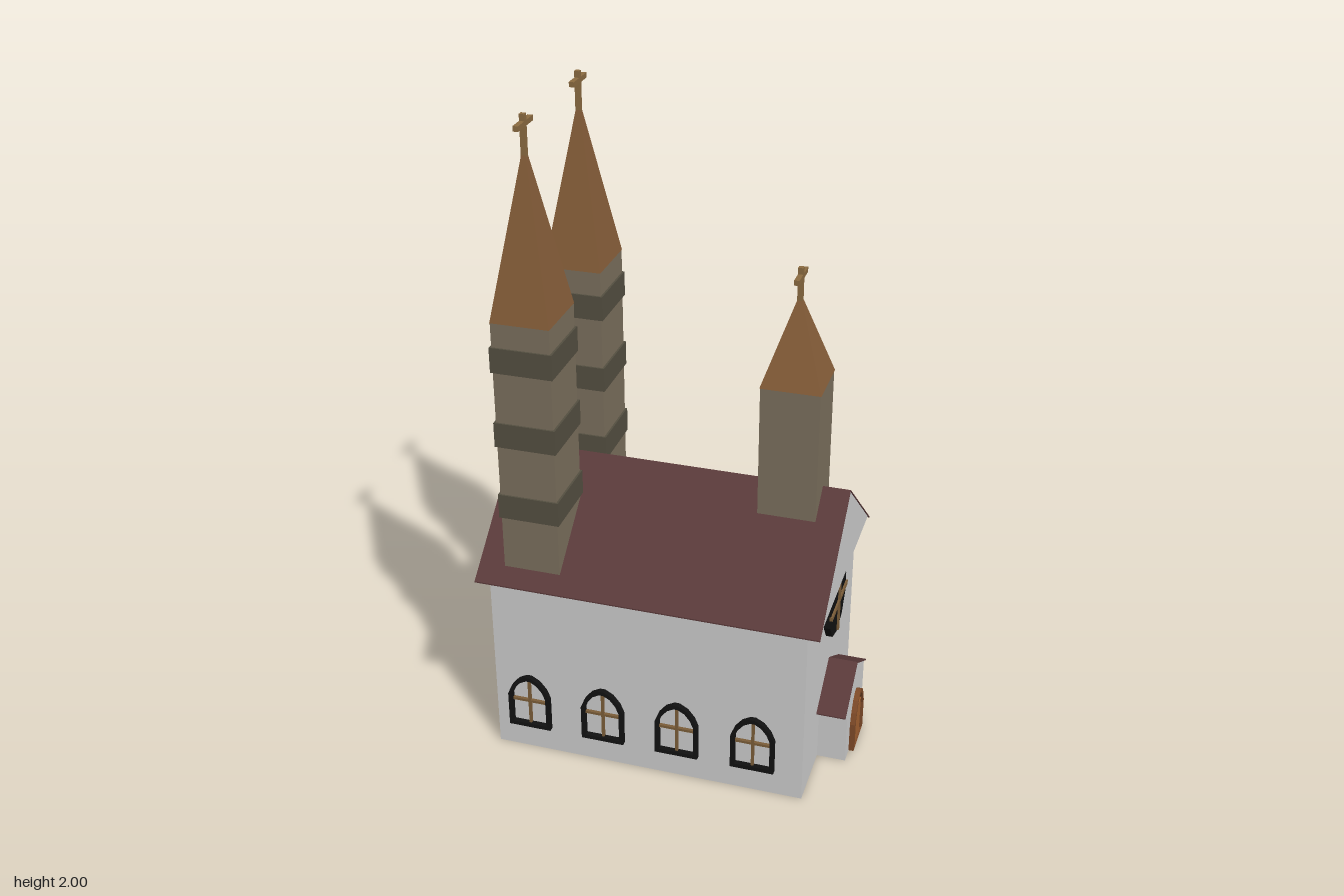
import * as THREE from 'three';

const mat = (color) => new THREE.MeshStandardMaterial({ color, flatShading: true });
const wall = mat(0xcccccc), roofing = mat(0x5a3a3a), stone = mat(0x7a6e5c), bandStone = mat(0x534e40);
const spireWood = mat(0x845c38), black = mat(0x111111), barWood = mat(0x7a5c38);
const crossWood = mat(0x8a6a40), doorWood = mat(0xa06030), frameWood = mat(0x7e4a28);

function add(parent, name, geometry, material, x = 0, y = 0, z = 0) {
  const mesh = new THREE.Mesh(geometry, material);
  mesh.name = name;
  mesh.position.set(x, y, z);
  parent.add(mesh);
  return mesh;
}

// Box given by its centre in x and z and its bottom and top in y
function block(parent, name, material, x, z, w, d, y0, y1) {
  return add(parent, name, new THREE.BoxGeometry(w, y1 - y0, d), material, x, (y0 + y1) / 2, z);
}

function outline(points, Type = THREE.Shape) {
  return new Type(points.map(([x, y]) => new THREE.Vector2(x, y)));
}

const extrude = (shape, depth) => new THREE.ExtrudeGeometry(shape, { depth, bevelEnabled: false });

// Profile drawn in the z-y plane and drawn out along x
function extrudeX(points, x0, x1) {
  return extrude(outline(points), x1 - x0).rotateY(Math.PI / 2).translate(x0, 0, 0);
}

// Thin pitched roof following a ridge and eaves
function pitchedRoof(parent, name, halfZ, eaveY, ridgeY, x0, x1) {
  const t = 0.004;
  add(parent, name, extrudeX([
    [-halfZ, eaveY], [0, ridgeY], [halfZ, eaveY],
    [halfZ, eaveY + t], [0, ridgeY + t], [-halfZ, eaveY + t],
  ], x0, x1), roofing);
}

// Pointed arch outline, standing on y = 0
function archPoints(half, spring, top) {
  const rise = top - spring;
  const right = [[half, 0], [half, spring], [half * 0.82, spring + rise * 0.42],
    [half * 0.5, spring + rise * 0.8], [half * 0.12, top]];
  return [...right, ...right.map(([x, y]) => [-x, y]).reverse()];
}

function archFrame(half, spring, top, t, sill, depth) {
  const shape = outline(archPoints(half, spring, top));
  const hole = archPoints(half - t, spring - sill, top - t - sill).map(([x, y]) => [x, y + sill]);
  shape.holes.push(outline(hole, THREE.Path));
  return extrude(shape, depth);
}

function cross(parent, x, z, y0, y1) {
  const group = new THREE.Group();
  group.name = 'cross';
  block(group, 'crossPost', crossWood, x, z, 0.015, 0.015, y0, y1);
  block(group, 'crossArm', crossWood, x, z, 0.015, 0.105, y1 - 0.034, y1 - 0.019);
  parent.add(group);
}

function spire(parent, x, z, w, d, y0, y1) {
  const geo = new THREE.CylinderGeometry(0, Math.SQRT1_2, 1, 4, 1).rotateY(Math.PI / 4);
  add(parent, 'spire', geo.scale(w, y1 - y0, d), spireWood, x, (y0 + y1) / 2, z);
}

function archWindow(x, side) {
  const group = new THREE.Group();
  group.name = 'archWindow';
  add(group, 'windowFrame', archFrame(0.067, 0.115, 0.186, 0.013, 0.013, 0.02), black);
  add(group, 'verticalBar', new THREE.BoxGeometry(0.008, 0.165, 0.01), barWood, 0, 0.093, 0.008);
  add(group, 'horizontalBar', new THREE.BoxGeometry(0.116, 0.008, 0.01), barWood, 0, 0.095, 0.008);
  group.position.set(x, 0.085, side * 0.327);
  if (side < 0) group.rotation.y = Math.PI;
  return group;
}

export function createModel() {
  const church = new THREE.Group();
  church.name = 'church';

  // Nave, gable block and roof
  block(church, 'naveWalls', wall, -0.035, 0, 0.97, 0.66, 0, 0.612);
  add(church, 'gable', extrudeX([[-0.33, 0.612], [0.33, 0.612], [0, 0.888]], -0.558, 0.488), wall);
  pitchedRoof(church, 'mainRoof', 0.352, 0.595, 0.889, -0.56, 0.49);

  // Side windows
  for (const side of [1, -1])
    for (const x of [-0.41, -0.173, 0.062, 0.298]) church.add(archWindow(x, side));

  // Round window above the porch
  const rose = new THREE.Group();
  rose.name = 'roundWindow';
  const disc = new THREE.CylinderGeometry(0.112, 0.112, 0.03, 10).rotateZ(Math.PI / 2);
  // Turn the ten-sided disc so that an edge lies on top
  disc.rotateX(Math.PI / 2);
  add(rose, 'windowDisc', disc, black, 0.455);
  add(rose, 'verticalBar', new THREE.BoxGeometry(0.01, 0.21, 0.013), barWood, 0.471);
  add(rose, 'horizontalBar', new THREE.BoxGeometry(0.01, 0.013, 0.215), barWood, 0.471);
  rose.position.y = 0.505;
  church.add(rose);

  // Porch with arched doorway
  const porch = new THREE.Group();
  porch.name = 'porch';
  add(porch, 'porchWalls', extrudeX([
    [-0.12, 0], [0.12, 0], [0.12, 0.21], [0, 0.285], [-0.12, 0.21],
  ], 0.44, 0.539), wall);
  pitchedRoof(porch, 'porchRoof', 0.158, 0.187, 0.286, 0.45, 0.54);
  const frame = archFrame(0.068, 0.1, 0.186, 0.014, 0, 0.02).rotateY(Math.PI / 2);
  add(porch, 'doorFrame', frame, frameWood, 0.535);
  block(porch, 'door', doorWood, 0.541, 0, 0.018, 0.078, 0, 0.13);
  church.add(porch);

  // Pair of tall banded towers
  for (const z of [0.208, -0.208]) {
    const tower = new THREE.Group();
    tower.name = 'tallTower';
    const x = -0.393;
    block(tower, 'towerShaft', stone, x, z, 0.173, 0.195, 0.64, 1.43);
    for (const y of [0.81, 1.045, 1.28]) block(tower, 'towerBand', bandStone, x, z, 0.185, 0.206, y, y + 0.077);
    for (const y of [0.887, 1.122]) block(tower, 'towerSlit', bandStone, x - 0.086, z, 0.006, 0.05, y, y + 0.158);
    spire(tower, x, z, 0.175, 0.197, 1.43, 1.925);
    cross(tower, x, z, 1.88, 2);
    church.add(tower);
  }

  // Small ridge tower
  const ridgeTower = new THREE.Group();
  ridgeTower.name = 'ridgeTower';
  block(ridgeTower, 'towerShaft', stone, 0.32, 0, 0.174, 0.174, 0.82, 1.23);
  spire(ridgeTower, 0.32, 0, 0.178, 0.178, 1.228, 1.495);
  cross(ridgeTower, 0.32, 0, 1.46, 1.57);
  church.add(ridgeTower);

  return church;
}
